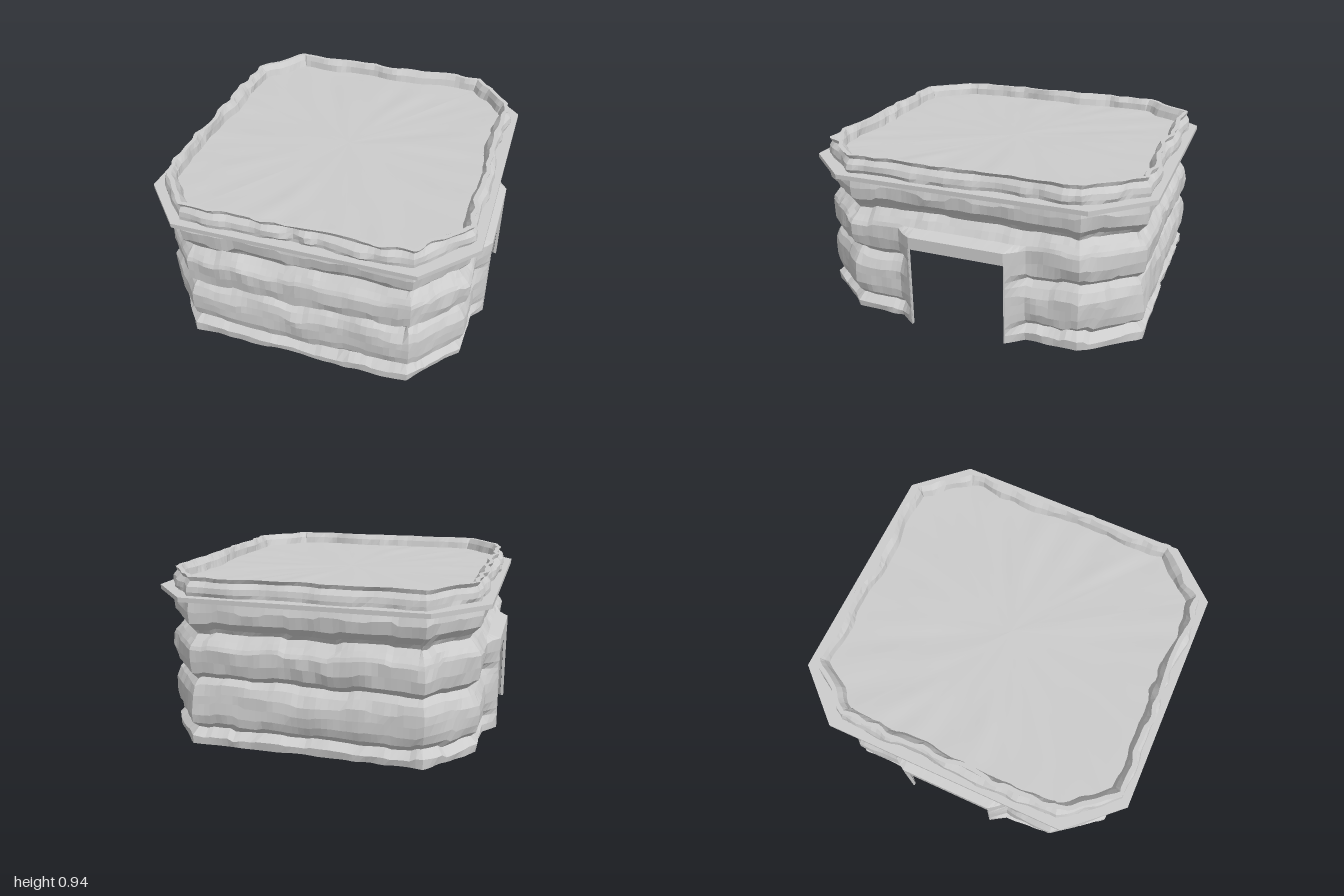
import * as THREE from 'three';

const DOOR_Z = 0.275, DOOR_Y = 0.47, DOOR_X = 0.957, WALL = 0.02;
const smooth = THREE.MathUtils.smoothstep;

// Seeded 3D value noise in -1..1
function hash(i, j, k) {
  const s = Math.sin(i * 127.1 + j * 311.7 + k * 74.7) * 43758.5453;
  return (s - Math.floor(s)) * 2 - 1;
}
function noise(x, y, z) {
  const i = Math.floor(x), j = Math.floor(y), k = Math.floor(z);
  const u = smooth(x - i, 0, 1), v = smooth(y - j, 0, 1), w = smooth(z - k, 0, 1);
  let sum = 0;
  for (let a = 0; a < 2; a++) for (let b = 0; b < 2; b++) for (let c = 0; c < 2; c++) {
    sum += hash(i + a, j + b, k + c) * (a ? u : 1 - u) * (b ? v : 1 - v) * (c ? w : 1 - w);
  }
  return sum;
}

// Octagon corners, running from front to the +x side, back and -x side
function octagon(hx, hz, cx, cz) {
  return [[-cx, hz], [cx, hz], [hx, cz], [hx, -cz], [cx, -hz], [-cx, -hz], [-hx, -cz], [-hx, cz]];
}

// Points round the plan, each with its outward direction
function perimeter() {
  const corners = octagon(0.88, 0.95, 0.64, 0.66);
  const nodes = [];
  const normals = corners.map((p, i) => {
    const q = corners[(i + 1) % 8], l = Math.hypot(q[0] - p[0], q[1] - p[1]);
    return [-(q[1] - p[1]) / l, (q[0] - p[0]) / l];
  });
  corners.forEach((p, i) => {
    const q = corners[(i + 1) % 8], n = normals[i], prev = normals[(i + 7) % 8];
    const isDoorSide = i === 2 || i === 6;
    const edge = (0.66 - DOOR_Z) / 1.32;
    const stops = isDoorSide ? [[0, edge, 12], [edge, 1 - edge, 14], [1 - edge, 1, 12]]
      : [[0, 1, i % 2 ? 12 : 38]];
    for (const [t0, t1, count] of stops) for (let k = 0; k < count; k++) {
      const t = t0 + (t1 - t0) * k / count;
      const m = t === 0 ? [(n[0] + prev[0]) * 0.54, (n[1] + prev[1]) * 0.54] : n;
      nodes.push({ x: p[0] + (q[0] - p[0]) * t, z: p[1] + (q[1] - p[1]) * t, n: m, door: isDoorSide });
    }
  });
  return nodes;
}
const NODES = perimeter();

// Vertical shift of the strata: gentle waves plus broken steps
function shift(p, y) {
  if (y < 0.02 || y > 0.8) return 0;
  return 0.012 * noise(p.x * 6 + 20, y * 4, p.z * 6)
    + 0.012 * hash(Math.floor(p.x * 7 + y * 2), Math.floor(y * 4), Math.floor(p.z * 7 + y * 2));
}

// Sideways relief of the rock
function relief(p, y) {
  return noise(p.x * 5, y * 8 + 7, p.z * 5) * 0.6 + noise(p.x * 14 + y * 8, y * 15, p.z * 14 + 5) * 0.5;
}

// Closed rings swept through rows of [height, offset, scale, inset]
function rockBand(name, rows, rough, flat) {
  const pos = [], index = [], N = NODES.length;
  rows.forEach(([y, off, scale = 1, inset = 0]) => NODES.forEach((p) => {
    const frame = p.door && y < 0.55
      ? 1 - THREE.MathUtils.clamp((Math.abs(p.z) - DOOR_Z - 0.002) / 0.095, 0, 1) : 0;
    const o = off + rough * relief(p, y);
    let x = (p.x + p.n[0] * o) * scale;
    const z = (p.z + p.n[1] * o * (1 - frame)) * scale;
    x += (Math.sign(p.x) * (DOOR_X - inset) - x) * frame;
    const uneven = scale < 0.95 ? 0.006 * noise(x * 9, 3, z * 9) : 0;
    const overDoor = p.door && Math.abs(p.z) < 0.37 && y > 0.5 && y < 0.58;
    pos.push(x, y + (overDoor ? 0 : shift(p, y) * (1 - frame)) + uneven, z);
  }));
  for (let j = 0; j < rows.length - 1; j++) for (let i = 0; i < N; i++) {
    const k = (i + 1) % N, p = NODES[i], q = NODES[k];
    const inDoor = p.door && Math.abs(p.z + q.z) / 2 < DOOR_Z
      && Math.max(rows[j][0], rows[j + 1][0]) <= DOOR_Y + 0.001;
    if (inDoor) continue;
    const a = j * N + i, b = j * N + k, c = b + N, d = a + N;
    index.push(a, b, c, a, c, d);
  }
  const g = new THREE.BufferGeometry();
  g.setAttribute('position', new THREE.Float32BufferAttribute(pos, 3));
  g.setIndex(index);
  g.computeVertexNormals();
  const mesh = new THREE.Mesh(g, new THREE.MeshStandardMaterial({ color: 0xcccccc, flatShading: flat }));
  mesh.name = name;
  return mesh;
}

// Tuft of drooping leaves
function tuft(x, z, material) {
  const group = new THREE.Group();
  group.name = 'plantTuft';
  for (let i = 0; i < 7; i++) {
    const pos = [], index = [], h = 0.08 + 0.02 * hash(i, 2, 3);
    for (let k = 0; k <= 4; k++) {
      const t = k / 4, w = 0.013 * Math.sin(0.5 + 2.5 * t) + 0.001;
      const y = h * Math.sin(t * 2.5), r = 0.1 * t;
      pos.push(r, y, -w, r, y, w);
      if (k < 4) index.push(k * 2, k * 2 + 1, k * 2 + 3, k * 2, k * 2 + 3, k * 2 + 2);
    }
    const g = new THREE.BufferGeometry();
    g.setAttribute('position', new THREE.Float32BufferAttribute(pos, 3));
    g.setIndex(index);
    g.computeVertexNormals();
    const leaf = new THREE.Mesh(g, material);
    leaf.name = 'leaf';
    leaf.rotation.y = i * Math.PI * 2 / 7 + 0.3 * hash(i, 5, 1);
    group.add(leaf);
  }
  group.position.set(x, 0, z);
  return group;
}

export function createModel() {
  const model = new THREE.Group();
  const grey = new THREE.MeshStandardMaterial({ color: 0xcccccc, side: THREE.DoubleSide });

  // Layered outer rock: each stratum bulges, then steps in under the next
  const strata = [[0, 0.005], [0.045, 0.01], [0.085, -0.035], [0.12, 0.0], [0.17, 0.012], [0.23, 0.012],
    [0.28, 0.008], [0.33, -0.015], [0.365, -0.045], [0.405, 0.0], [DOOR_Y, 0.01], [0.54, 0.008],
    [0.562, -0.002], [0.59, -0.025], [0.625, -0.055], [0.65, -0.04], [0.695, 0.0], [0.76, 0.008], [0.815, -0.005]];
  // Inner face of the wall, following the outer strata more softly
  const inner = strata.map(([y, o]) => [y, o * 0.75 - 0.037, 1, WALL]).reverse();
  model.add(rockBand('innerRockWall', inner, 0.018, false));
  model.add(rockBand('outerRockWall', [inner[inner.length - 1], ...strata], 0.018, true));

  // Roof slab with clipped corners
  const plan = new THREE.Shape(octagon(0.935, 1, 0.67, 0.71).map(([x, z]) => new THREE.Vector2(x, -z)));
  const slabGeo = new THREE.ExtrudeGeometry(plan, { depth: 0.025, bevelEnabled: false });
  slabGeo.rotateX(-Math.PI / 2);
  const slab = new THREE.Mesh(slabGeo, grey);
  slab.name = 'roofSlab';
  slab.position.y = 0.81;
  model.add(slab);

  // Ragged parapet and the roof surface inside it
  model.add(rockBand('parapet', [[0.825, 0.0], [0.855, 0.006], [0.885, 0.0], [0.912, -0.025], [0.935, -0.015],
    [0.935, -0.04], [0.905, -0.058], [0.855, -0.07]], 0.034, true));
  model.add(rockBand('roofSurface', [[0.865, -0.04], [0.865, -0.06, 0.9], [0.865, -0.06, 0.7], [0.865, -0.06, 0.45],
    [0.865, -0.06, 0.2], [0.865, -0.06, 0.001]], 0.008, false));

  // Thin linings of the two doorways
  for (const side of [-1, 1]) {
    const lining = new THREE.Group();
    lining.name = 'doorLining';
    const add = (name, h, d, y, z) => {
      const m = new THREE.Mesh(new THREE.BoxGeometry(WALL - 0.002, h, d), grey);
      m.name = name;
      m.position.set(side * (DOOR_X - WALL / 2), y, z);
      lining.add(m);
    };
    for (const s of [-1, 1]) add('doorJamb', DOOR_Y, 0.006, DOOR_Y / 2, s * (DOOR_Z + 0.003));
    add('doorLintel', 0.06, DOOR_Z * 2, DOOR_Y + 0.03, 0);
    model.add(lining);
  }

  // Plants at the foot of the inner walls
  for (const [x, z] of [[0.76, -0.54], [0.52, 0.78], [-0.76, 0.54]]) model.add(tuft(x, z, grey));

  // Hanging vines in one corner
  for (let i = 0; i < 3; i++) {
    const vine = new THREE.Mesh(new THREE.CylinderGeometry(0.003, 0.003, 0.14 + 0.05 * i, 5), grey);
    vine.name = 'vine';
    vine.position.set(-0.75 + 0.01 * i, 0.55, 0.58 + 0.02 * i);
    model.add(vine);
  }
  return model;
}
